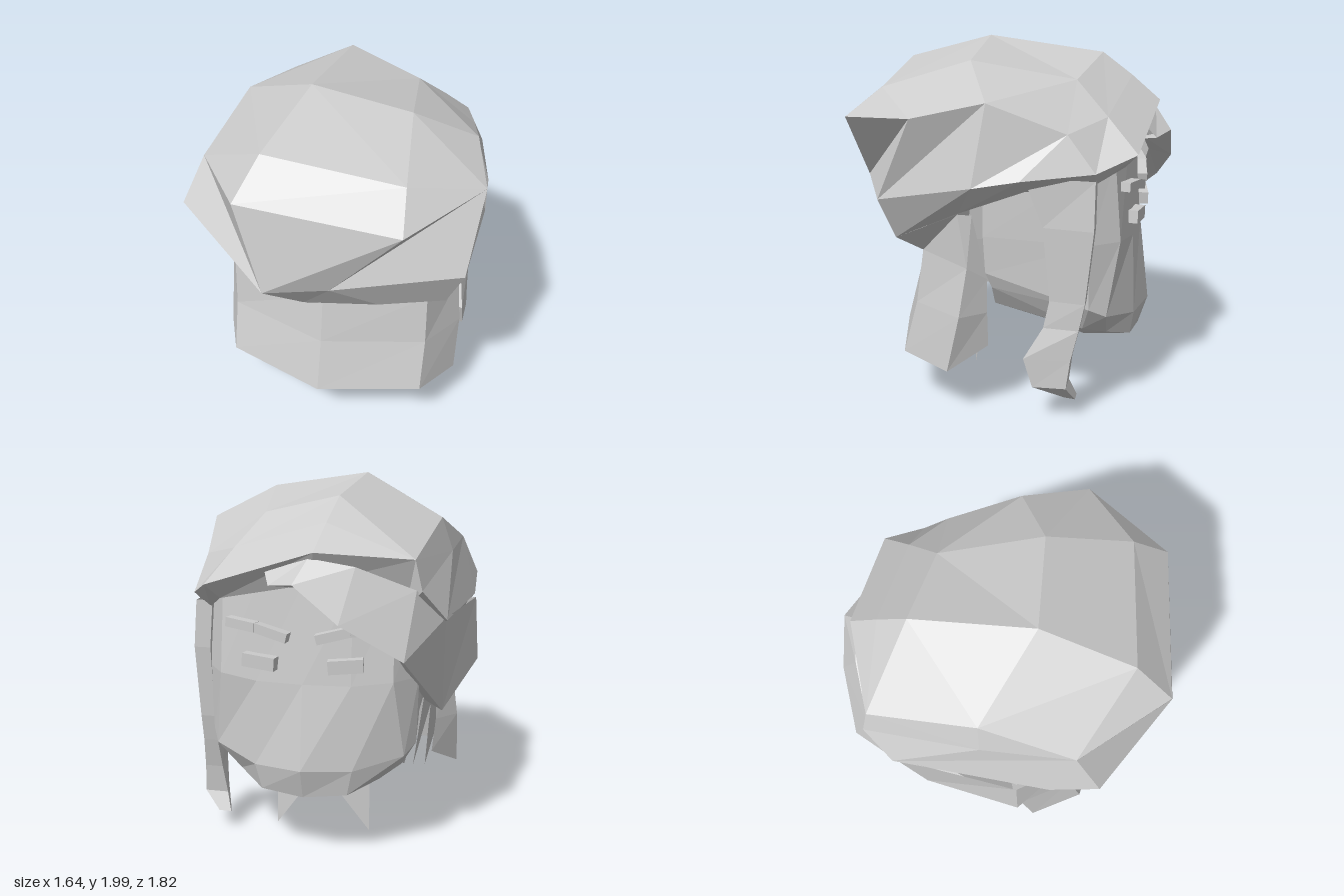
import * as THREE from 'three';

const gray = new THREE.MeshStandardMaterial({ color: 0xcccccc, flatShading: true, side: THREE.DoubleSide });
gray.name = 'plain gray';

// Faceted mesh from a list of triangle corners
function facets(name, points) {
  const g = new THREE.BufferGeometry();
  g.setAttribute('position', new THREE.Float32BufferAttribute(points.flat(), 3));
  g.computeVertexNormals();
  const mesh = new THREE.Mesh(g, gray);
  mesh.name = name;
  return mesh;
}

// Skin between rows of points, listed bottom to top; an apex closes the last row
function loft(name, rows, closed = false, apex = null) {
  const tris = [], n = rows[0].length, last = closed ? n : n - 1;
  for (let i = 0; i < rows.length - 1; i++) {
    for (let j = 0; j < last; j++) {
      const k = (j + 1) % n;
      const a = rows[i][j], b = rows[i][k], c = rows[i + 1][k], d = rows[i + 1][j];
      tris.push(a, b, c, a, c, d);
    }
  }
  if (apex) {
    const top = rows[rows.length - 1];
    for (let j = 0; j < n; j++) tris.push(top[j], top[(j + 1) % n], apex);
  }
  return facets(name, tris);
}

const flip = ([x, y, z]) => [-x, y, z];

// Full row from its +x half; a point on the centre line is kept once
function mirrored(half) {
  const other = half.filter(p => p[0] > 0).map(flip).reverse();
  return [...half, ...other];
}

export function createModel() {
  const model = new THREE.Group();
  model.name = 'headWithHair';

  // Hair cap: rings run from the back round the +x side; repeated points steer the creases
  const nape = [-0.02, 1.05, 0.74], backTip = [-0.18, 1.21, 0.91], fold = [0.14, 1.22, 0.8];
  const corner = [0.82, 1.68, 0.34], temple = [-0.56, 1.63, -0.69];
  const rim = [
    nape, [0.35, 1.03, 0.62], [0.35, 1.03, 0.62], [0.68, 1.02, 0.47], [0.65, 1.16, 0.14],
    [0.6, 1.28, -0.2], [0.56, 1.32, -0.55], [0.45, 1.4, -0.7], [-0.05, 1.5, -0.75],
    [-0.5, 1.36, -0.6], [-0.5, 1.36, -0.6], [-0.63, 1.24, -0.4], [-0.65, 1.15, 0.1],
    [-0.57, 1.14, 0.38], nape,
  ];
  const brim = [
    backTip, fold, fold, [0.78, 1.25, 0.53], [0.78, 1.33, 0.04],
    [0.75, 1.37, -0.2], [0.64, 1.4, -0.57], [0.51, 1.48, -0.77], [-0.08, 1.67, -0.84],
    temple, [-0.6, 1.48, -0.72], [-0.71, 1.31, -0.57], [-0.78, 1.3, 0.27],
    [-0.77, 1.39, 0.53], backTip,
  ];
  const t7 = [-0.69, 1.62, 0.39], t12 = [0.61, 1.59, -0.42];
  const shoulder = [
    [-0.34, 1.68, 0.84], [0.51, 1.62, 0.79], corner, corner, [0.7, 1.75, -0.02],
    t12, t12, [0.4, 1.65, -0.6], [-0.11, 1.8, -0.68],
    temple, temple, [-0.68, 1.6, -0.1], t7, t7, t7,
  ];
  const t3 = [-0.26, 1.86, 0.64], t4 = [0.47, 1.78, 0.59], t2 = [0.38, 1.92, 0.13];
  const t9 = [0.28, 1.82, -0.42], t10 = [-0.14, 1.92, -0.51], t5 = [-0.62, 1.78, -0.11];
  const crown = [t3, t4, t4, t2, t2, t9, t9, t9, t10, t10, t10, t5, t5, t3, t3];
  model.add(loft('hairCap', [rim, brim, shoulder, crown], true, [-0.16, 2, 0.14]));

  // Long hair hanging at the back, gathered higher on the -x side
  const backRows = [
    [[0.58, 0.4, 0], [0.71, 0.285, 0.2], [0.57, 0.32, 0.48], [0, 0.29, 0.63]],
    [[0.6, 0.6, 0], [0.71, 0.6, 0.13], [0.57, 0.62, 0.4], [0, 0.6, 0.55]],
  ].map(mirrored);
  backRows.push(
    [[0.6, 0.79, 0], [0.68, 0.87, 0.09], [0.56, 0.92, 0.36], [0, 0.89, 0.5],
      [-0.57, 1.13, 0.36], [-0.68, 0.87, 0.09], [-0.6, 0.8, 0]],
    [[0.64, 1.15, 0.07], [0.67, 1.16, 0.14], [0.68, 1.02, 0.47], [0, 1.05, 0.74],
      [-0.57, 1.14, 0.38], [-0.64, 1.16, 0.16], [-0.62, 1.2, 0.08]],
  );
  model.add(loft('backHair', backRows.map(r => r.reverse())));

  // Swept fringe: inner lower edge, outer lower edge, upper edge under the cap
  model.add(loft('sweptFringe', [
    [[0.1, 1.48, -0.74], [0.02, 1.48, -0.76], [-0.22, 1.36, -0.78], [-0.48, 1.14, -0.72],
      [-0.58, 0.82, -0.36], [-0.66, 0.84, 0.06], [-0.6, 1.08, 0.3]],
    [[0.15, 1.5, -0.84], [0.01, 1.52, -0.91], [-0.22, 1.33, -0.91], [-0.53, 1.14, -0.82],
      [-0.68, 0.79, -0.43], [-0.82, 0.95, 0.11], [-0.58, 1.12, 0.34]],
    [[0.18, 1.56, -0.79], [-0.05, 1.64, -0.82], [-0.28, 1.6, -0.79], [-0.57, 1.48, -0.7],
      [-0.7, 1.32, -0.56], [-0.8, 1.31, 0.1], [-0.66, 1.25, 0.32]],
  ]));

  // Loose lock on the +x side: y, back z, front z, back x, front x, thickness
  const lockRows = [
    [0.12, -0.42, -0.48, 0.56, 0.57, 0.07], [0.22, -0.26, -0.44, 0.67, 0.66, 0.13],
    [0.38, -0.21, -0.46, 0.67, 0.65, 0.1], [0.55, -0.31, -0.5, 0.63, 0.64, 0.08],
    [0.7, -0.34, -0.53, 0.62, 0.64, 0.08], [1.1, -0.3, -0.57, 0.62, 0.65, 0.09],
    [1.36, -0.2, -0.57, 0.62, 0.63, 0.09],
  ].map(([y, zb, zf, xb, xf, t]) => [
    [xb, y, zb], [xf, y, zf], [xf - t, y, zf], [xb - t * 0.7, y, zb - 0.02],
  ]);
  model.add(loft('sideLock', lockRows, true));
  const [p0, p1, p2, p3] = lockRows[0];
  model.add(facets('lockTip', [p0, p2, p1, p0, p3, p2]));

  // Head: side, cheek, front and centre columns, from under the chin up to the brow
  const headRows = [
    [[0.3, 0.58, 0], [0.25, 0.52, -0.25], [0.15, 0.48, -0.32], [0.05, 0.48, -0.32], [0, 0.48, -0.32]],
    [[0.4, 0.58, 0], [0.36, 0.46, -0.42], [0.29, 0.4, -0.46], [0.22, 0.36, -0.48], [0, 0.36, -0.5]],
    [[0.48, 0.7, 0], [0.48, 0.5, -0.5], [0.38, 0.45, -0.62], [0.23, 0.39, -0.74], [0, 0.37, -0.77]],
    [[0.51, 0.79, 0.03], [0.56, 0.64, -0.54], [0.51, 0.59, -0.63], [0.26, 0.53, -0.76], [0, 0.53, -0.82]],
    [[0.52, 1.0, 0.04], [0.57, 1.0, -0.54], [0.46, 1.0, -0.69], [0.25, 0.98, -0.74], [0, 0.98, -0.76]],
    [[0.52, 1.25, 0.04], [0.57, 1.38, -0.5], [0.45, 1.44, -0.65], [0.25, 1.48, -0.7], [0, 1.5, -0.71]],
  ].map(mirrored);
  model.add(loft('head', headRows));

  // Brows in two joined segments, and short eye bars
  function bar(name, w, h, x, y, z, turn, tilt) {
    const m = new THREE.Mesh(new THREE.BoxGeometry(w, h, 0.06), gray);
    m.name = name;
    m.position.set(x, y, z);
    m.rotation.set(0, turn, tilt);
    model.add(m);
  }
  for (const s of [1, -1]) {
    bar('innerBrow', 0.19, 0.05, 0.165 * s, 1.245, -0.745, -0.12 * s, 0.25 * s);
    bar('outerBrow', 0.17, 0.05, 0.325 * s, 1.275, -0.72, -0.25 * s, 0.1 * s);
    bar('eye', 0.18, 0.07, 0.225 * s, 1.09, -0.75, -0.15 * s, 0.08 * s);
  }

  // Pointed strands under the chin
  const strand = [[0.27, 0.01, -0.32], [0.27, 0.5, -0.3], [-0.05, 0.45, -0.38]];
  model.add(facets('neckStrandLeft', strand));
  model.add(facets('neckStrandRight', strand.map(flip).reverse()));

  // Ragged ends behind the cheeks
  model.add(facets('raggedEndLeft', [[0.58, 0.75, 0.08], [0.57, 0.7, 0.01], [0.53, 0.28, 0.08]]));
  model.add(facets('raggedEndRight', [
    [-0.65, 0.75, 0.08], [-0.53, 0.28, 0.09], [-0.58, 0.75, -0.08],
    [-0.58, 0.75, 0.06], [-0.47, 0.3, 0.01], [-0.54, 0.75, -0.1],
  ]));
  const [q0, q1, q2, q3] = [[-0.54, 0.8, 0], [-0.42, 0.31, 0], [-0.29, 0.44, -0.26], [-0.46, 0.7, -0.28]];
  model.add(facets('broadEndRight', [q0, q1, q2, q0, q2, q3]));

  return model;
}
